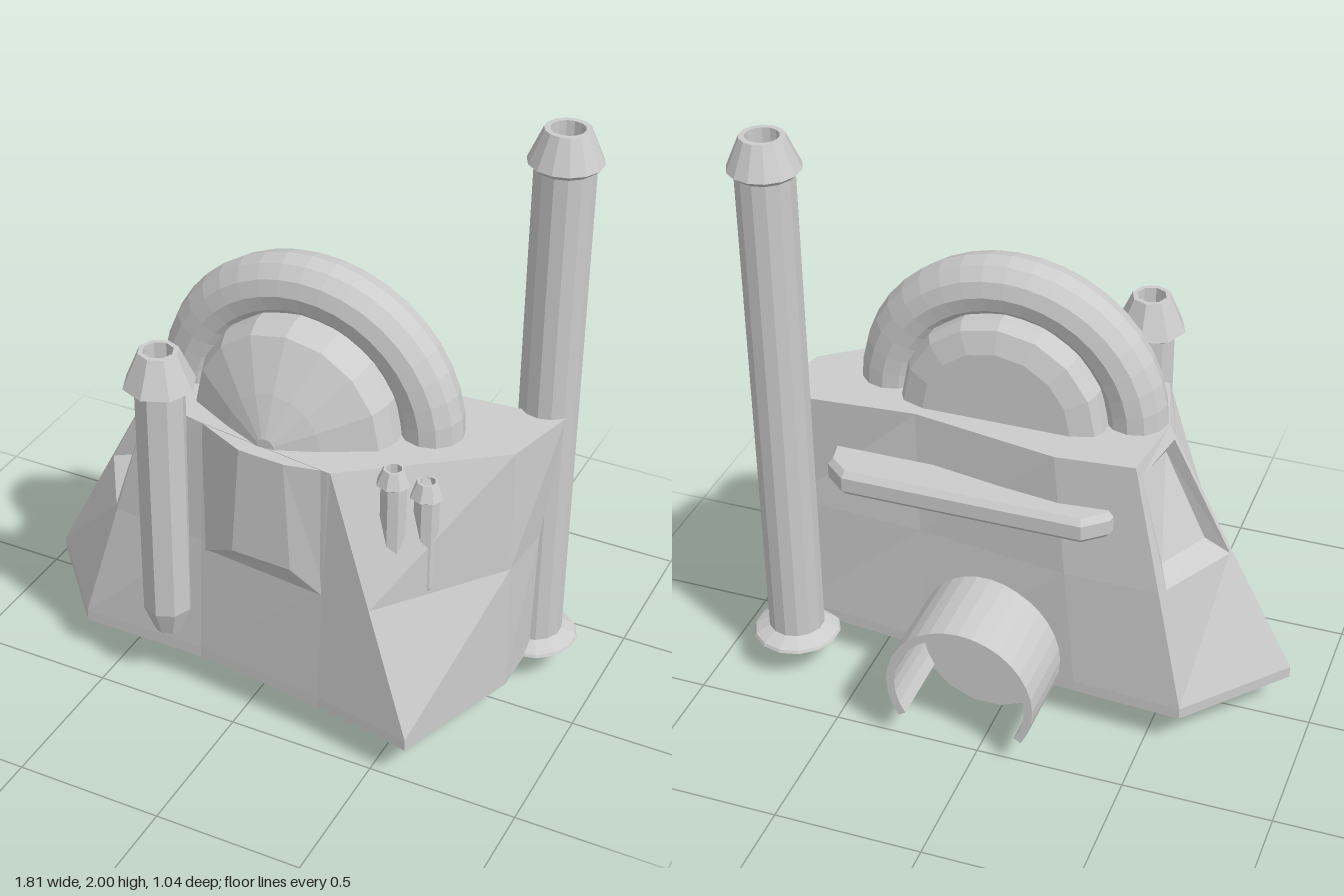
import * as THREE from 'three';

const flat = new THREE.MeshStandardMaterial({ color: 0xcccccc, flatShading: true });
const thin = new THREE.MeshStandardMaterial({ color: 0xcccccc, flatShading: true, side: THREE.DoubleSide });

function add(parent, name, geometry, material = flat) {
  const mesh = new THREE.Mesh(geometry, material);
  mesh.name = name;
  parent.add(mesh);
  return mesh;
}

// Faceted geometry from faces of three or four corners (Vector3)
function faceted(faces) {
  const pos = [];
  for (const f of faces)
    for (let i = 1; i < f.length - 1; i++)
      for (const p of [f[0], f[i], f[i + 1]]) pos.push(p.x, p.y, p.z);
  const g = new THREE.BufferGeometry();
  g.setAttribute('position', new THREE.Float32BufferAttribute(pos, 3));
  g.computeVertexNormals();
  return g;
}

const V = (x, y, z) => new THREE.Vector3(x, y, z);
const lathe = (pts, sides) =>
  new THREE.LatheGeometry(pts.map(([r, y]) => new THREE.Vector2(r, y)), sides);

// Wall facet with a sunken window
function windowFacet(faces, b0, b1, t1, t0, u0, u1) {
  const at = (u, v) => b0.clone().lerp(b1, u).lerp(t0.clone().lerp(t1, u), v);
  const inward = b1.clone().sub(b0).cross(t0.clone().sub(b0)).normalize().multiplyScalar(-0.06);
  const rect = (a, b, c, d) => [at(a, c), at(b, c), at(b, d), at(a, d)];
  const outer = [b0, b1, t1, t0];
  const rim = rect(u0, u1, 0.49, 0.95);
  const pane = rect(u0 + 0.12, u1 - 0.12, 0.55, 0.9).map((p) => p.add(inward));
  for (let i = 0; i < 4; i++) {
    const j = (i + 1) % 4;
    faces.push([outer[i], outer[j], rim[j], rim[i]], [rim[i], rim[j], pane[j], pane[i]]);
  }
  faces.push(pane);
}

function bodyGeometry() {
  // Each corner: bottom x, z then top x, z
  const corners = [
    [-0.91, 0.06, -0.46, 0.06], [-0.62, 0.385, -0.39, 0.30], [-0.18, 0.385, -0.17, 0.35],
    [0.28, 0.44, 0.30, 0.42], [0.62, 0.505, 0.31, 0.42], [0.78, 0.06, 0.77, 0.07],
    [0.78, -0.15, 0.835, -0.19], [0.30, -0.2, 0.33, -0.15], [-0.25, -0.25, -0.17, -0.235],
    [-0.62, -0.27, -0.43, -0.21],
  ];
  const n = corners.length;
  const ring = (y, t) => corners.map(([a, b, c, d]) => V(a + (c - a) * t, y, b + (d - b) * t));
  const base = ring(0.13, 0), lip = ring(0.17, 0), mid = ring(0.6, 0.494), top = ring(1.04, 1);
  mid[6].set(0.79, 0.6, -0.145);
  const faces = [];
  for (let i = 0; i < n; i++) {
    const j = (i + 1) % n;
    faces.push([base[i], base[j], lip[j], lip[i]]);
    if (i === 0) windowFacet(faces, lip[i], lip[j], top[j], top[i], 0.04, 0.9);
    else if (i === n - 1) windowFacet(faces, lip[i], lip[j], top[j], top[i], 0.1, 0.96);
    else faces.push([lip[i], lip[j], mid[j], mid[i]], [mid[i], mid[j], top[j], top[i]]);
    faces.push([V(0.1, 1.04, 0.1), top[i], top[j]], [V(0.1, 0.13, 0.1), base[j], base[i]]);
  }
  return faceted(faces);
}

// Vertical pipe with a hollow flared cap; foot is a list of [radius, y]
function pipe(parent, name, x, z, r, top, cap, foot, sides) {
  const [capR, capH, mouth] = cap;
  const m = add(parent, name, lathe([
    [0, foot[0][1]], ...foot,
    [r, top - capH], [capR, top - capH * 0.85], [mouth, top],
    [mouth * 0.75, top], [mouth * 0.75, top - capH], [0, top - capH],
  ], sides), thin);
  m.position.set(x, 0, z);
}

export function createModel() {
  const model = new THREE.Group();
  model.name = 'factoryBuilding';

  add(model, 'body', bodyGeometry());

  // Raised panel in the front wall
  const o = [V(-0.17, 0.56, 0.365), V(0.31, 0.56, 0.425), V(0.31, 1.038, 0.41), V(-0.2, 1.038, 0.335)];
  const q = [V(-0.02, 0.66, 0.445), V(0.19, 0.66, 0.455), V(0.16, 1.038, 0.44), V(0, 1.038, 0.43)];
  add(model, 'frontPanel', faceted([
    q, [o[0], o[1], q[1], q[0]], [o[1], o[2], q[2], q[1]], [o[2], o[3], q[3], q[2]], [o[3], o[0], q[0], q[3]],
  ]));

  // Wheel-shaped dome sunk into the roof
  const dome = add(model, 'dome', lathe([
    [0, -0.11], [0.25, -0.11], [0.325, -0.085], [0.345, -0.05], [0.345, 0.18],
    [0.32, 0.245], [0.16, 0.33], [0.03, 0.385], [0, 0.385],
  ], 16).rotateX(Math.PI / 2));
  dome.position.set(0.07, 1.04, 0);

  const arch = add(model, 'archPipe', new THREE.TorusGeometry(0.42, 0.104, 12, 20, Math.PI));
  arch.position.set(0.07, 1.03, 0.063);

  // Chimney and wall pipes
  pipe(model, 'tallChimney', 0.755, -0.245, 0.096, 2, [0.118, 0.125, 0.072],
    [[0.15, 0.13], [0.145, 0.14], [0.096, 0.165]], 14);
  for (const [name, x, z, r, bottom, top, cap] of [
    ['frontPipe', -0.29, 0.4, 0.082, 0.23, 1.3, [0.118, 0.14, 0.066]],
    ['smallPipeInner', 0.483, 0.335, 0.043, 0.63, 1.06, [0.056, 0.06, 0.034]],
    ['smallPipeOuter', 0.567, 0.27, 0.043, 0.57, 1.0, [0.056, 0.06, 0.034]],
  ]) pipe(model, name, x, z, r, top, cap, [[r * 0.55, bottom], [r, bottom + r * 1.2]], 8);

  // Rail along the back wall, ends slanting into it
  const railShape = new THREE.Shape([[-0.36, 0.17], [0.6, 0.17], [0.585, 0.24], [0.52, 0.295], [-0.28, 0.295], [-0.345, 0.24]]
    .map(([x, y]) => new THREE.Vector2(x, y)));
  const rail = add(model, 'backRail', new THREE.ExtrudeGeometry(railShape, {
    depth: 0.05, bevelEnabled: true, bevelSize: 0.018, bevelThickness: 0.02, bevelSegments: 1,
  }).rotateX(-Math.PI / 2));
  rail.position.y = 0.8;

  // Open-bottomed round vent behind the body, with its disc
  const vent = new THREE.Group();
  vent.name = 'backVent';
  vent.position.set(0.052, 0.238, 0);
  model.add(vent);
  const a = 0.57;
  const arc = new THREE.Shape();
  arc.absarc(0, 0, 0.253, -a, Math.PI + a, false);
  arc.absarc(0, 0, 0.225, Math.PI + a, -a, true);
  add(vent, 'ventShell', new THREE.ExtrudeGeometry(arc, { depth: 0.52, bevelEnabled: false, curveSegments: 11 }), thin)
    .position.z = -0.525;
  add(vent, 'ventDisc', new THREE.CircleGeometry(0.24, 16).rotateZ(Math.PI / 16), thin).position.z = -0.26;

  return model;
}
